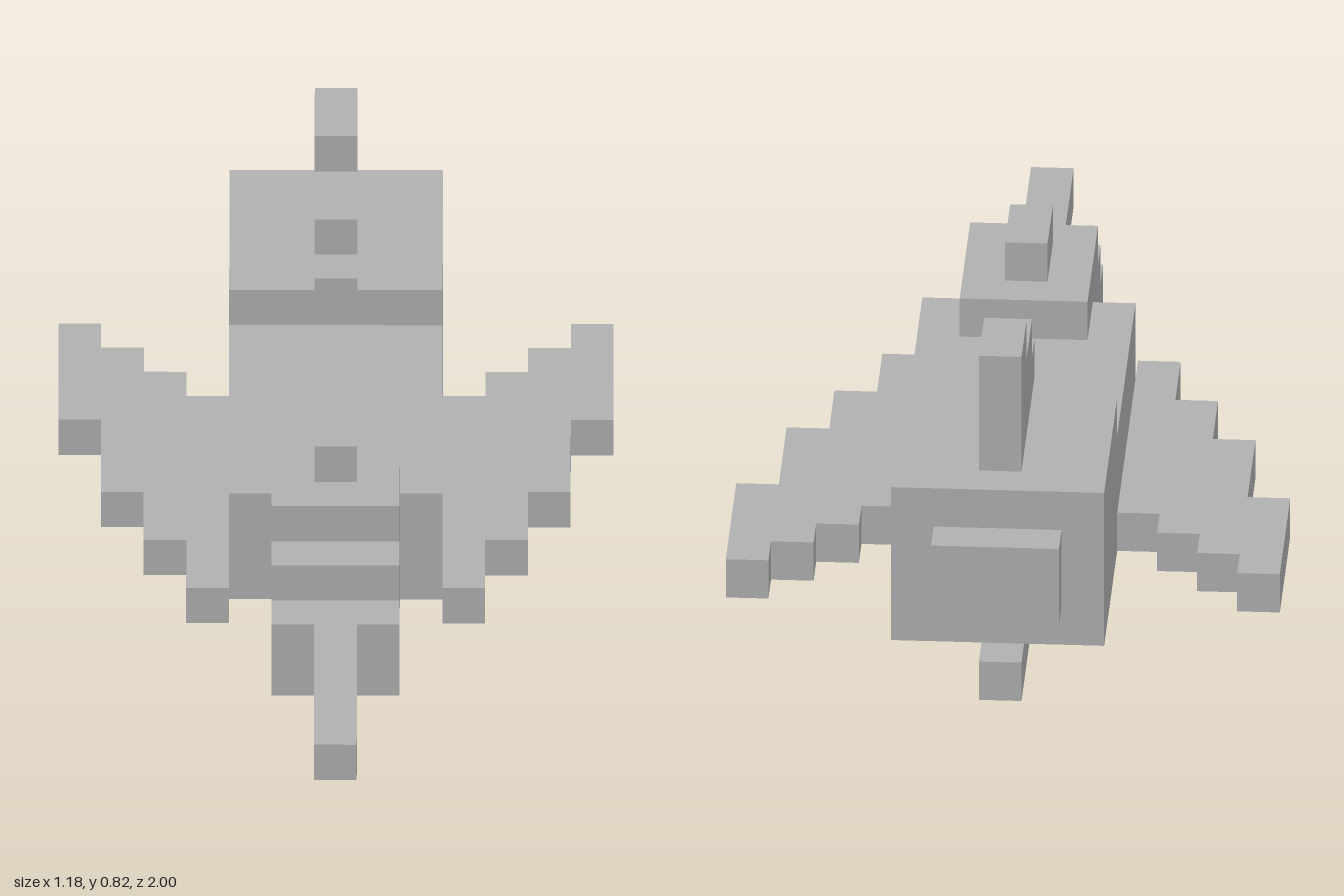
import * as THREE from 'three';

// One block of the stepped grid; the ship is 22 blocks long.
const U = 1 / 11;

export function createModel() {
  const model = new THREE.Group();
  model.name = 'blockShip';

  const hullGrey = new THREE.MeshStandardMaterial({ color: 0xb0b0b0 });
  hullGrey.name = 'hullGrey';

  function add(name, geometry) {
    geometry.scale(U, U, U);
    const mesh = new THREE.Mesh(geometry, hullGrey);
    mesh.name = name;
    model.add(mesh);
    return mesh;
  }

  function outline(points) {
    return new THREE.Shape(points.map(([a, b]) => new THREE.Vector2(a, b)));
  }

  // Side silhouette of [z, y] corners, extruded across a width centred on x = 0.
  function sidePart(name, width, points) {
    const geo = new THREE.ExtrudeGeometry(outline(points), { depth: width, bevelEnabled: false });
    geo.translate(0, 0, -width / 2);
    geo.rotateY(-Math.PI / 2); // shape x becomes z
    return add(name, geo);
  }

  // Fuselage with raised rear
  sidePart('fuselage', 5, [[-10, 2], [2, 2], [2, 5], [-5, 5], [-5, 6], [-10, 6]]);

  // Stepped cockpit in front of and on top of the fuselage
  sidePart('cockpit', 3, [[2, 2], [6, 2], [6, 4], [5, 4], [5, 5], [4, 5], [4, 6], [0, 6], [0, 5], [2, 5]]);
  sidePart('cockpitHatch', 1, [[1, 6], [3, 6], [3, 7], [1, 7]]);

  // Long nose with shorter lower step
  sidePart('nose', 1, [[6, 2], [9, 2], [9, 3], [11, 3], [11, 4], [6, 4]]);

  // Engine outlet at the back
  sidePart('engine', 3, [[-11, 3], [-10, 3], [-10, 5], [-11, 5]]);

  // Tail fin and keel
  sidePart('tailFin', 1, [[-9, 6], [-4, 6], [-4, 7], [-5, 7], [-5, 8], [-7, 8], [-7, 9], [-9, 9]]);
  sidePart('keel', 1, [[-9, 0], [-5, 0], [-5, 1], [-3, 1], [-3, 2], [-8, 2], [-8, 1], [-9, 1]]);

  // Swept wings: each column runs from its back z to its front z
  const columns = [[-5, 3], [-6, 1], [-7, -1], [-8, -4]];
  for (const side of [1, -1]) {
    const front = [], back = [];
    columns.forEach(([b, f], i) => {
      const x0 = side * (2.5 + i), x1 = side * (3.5 + i);
      front.push([x0, -f], [x1, -f]);
      back.unshift([x1, -b], [x0, -b]);
    });
    const geo = new THREE.ExtrudeGeometry(outline([...front, ...back]), { depth: 1, bevelEnabled: false });
    geo.rotateX(-Math.PI / 2); // shape y becomes -z, depth becomes y
    geo.translate(0, 2, 0);
    add(side > 0 ? 'leftWing' : 'rightWing', geo);
  }

  return model;
}
